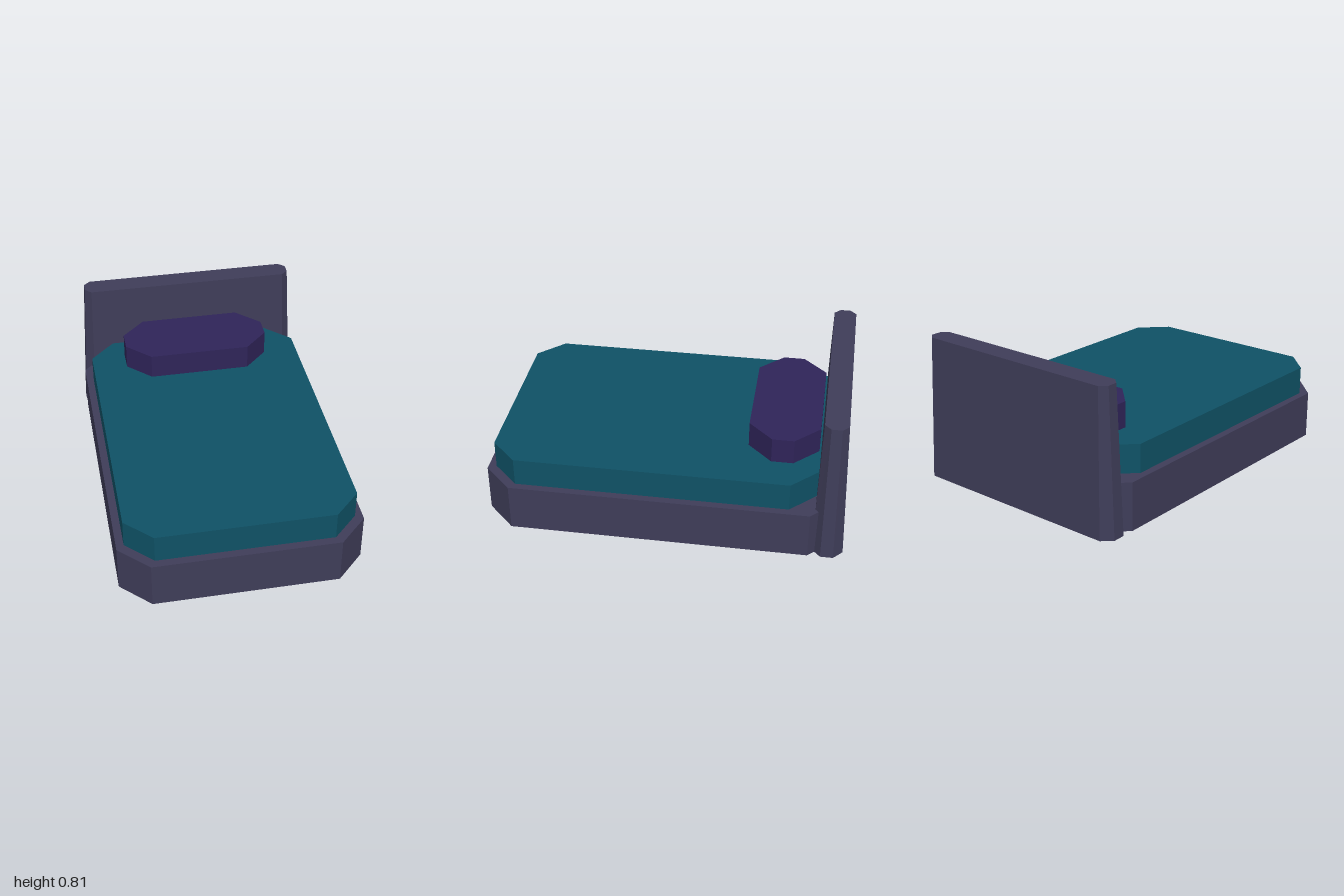
import * as THREE from 'three';

const mat = (name, color) => {
  const m = new THREE.MeshStandardMaterial({ color });
  m.name = name;
  return m;
};

// Octagonal outline: half width x, back z0, front z1, corner cuts cx and cz
function outline({ x, z0, z1, cx, cz }) {
  return [
    [x, z1 - cz], [x, z0 + cz], [x - cx, z0], [cx - x, z0],
    [-x, z0 + cz], [-x, z1 - cz], [cx - x, z1], [x - cx, z1],
  ];
}

// Solid block lofted between a bottom and a top outline, with flat faces
function block(name, material, y0, y1, bottom, top = bottom) {
  const a = outline(bottom).map(([x, z]) => [x, y0, z]);
  const b = outline(top).map(([x, z]) => [x, y1, z]);
  const n = a.length;
  const pos = [];
  const tri = (...pts) => pts.forEach((p) => pos.push(...p));
  for (let i = 0; i < n; i++) {
    const j = (i + 1) % n;
    tri(a[i], a[j], b[j]);
    tri(a[i], b[j], b[i]);
    if (i > 0 && i < n - 1) {
      tri(b[0], b[i], b[i + 1]);
      tri(a[0], a[i + 1], a[i]);
    }
  }
  const geo = new THREE.BufferGeometry();
  geo.setAttribute('position', new THREE.Float32BufferAttribute(pos, 3));
  geo.computeVertexNormals();
  const mesh = new THREE.Mesh(geo, material);
  mesh.name = name;
  return mesh;
}

export function createModel() {
  const frame = mat('slate frame', 0x3f3d59);
  const teal = mat('teal bedding', 0x0f5266);
  const purple = mat('purple pillow', 0x2f2459);

  const bed = new THREE.Group();
  bed.name = 'bed';
  bed.add(
    block('bedFrame', frame, 0, 0.27, { x: 0.67, z0: -0.97, z1: 1, cx: 0.16, cz: 0.16 }),
    block('mattress', teal, 0.27, 0.43, { x: 0.628, z0: -0.84, z1: 0.955, cx: 0.145, cz: 0.145 }),
    block('pillow', purple, 0.43, 0.575, { x: 0.427, z0: -0.83, z1: -0.44, cx: 0.135, cz: 0.135 }),
    // Headboard narrows toward the top
    block('headboard', frame, 0, 0.81,
      { x: 0.67, z0: -1, z1: -0.83, cx: 0.055, cz: 0.05 },
      { x: 0.63, z0: -0.975, z1: -0.848, cx: 0.037, cz: 0.035 }),
  );
  return bed;
}
